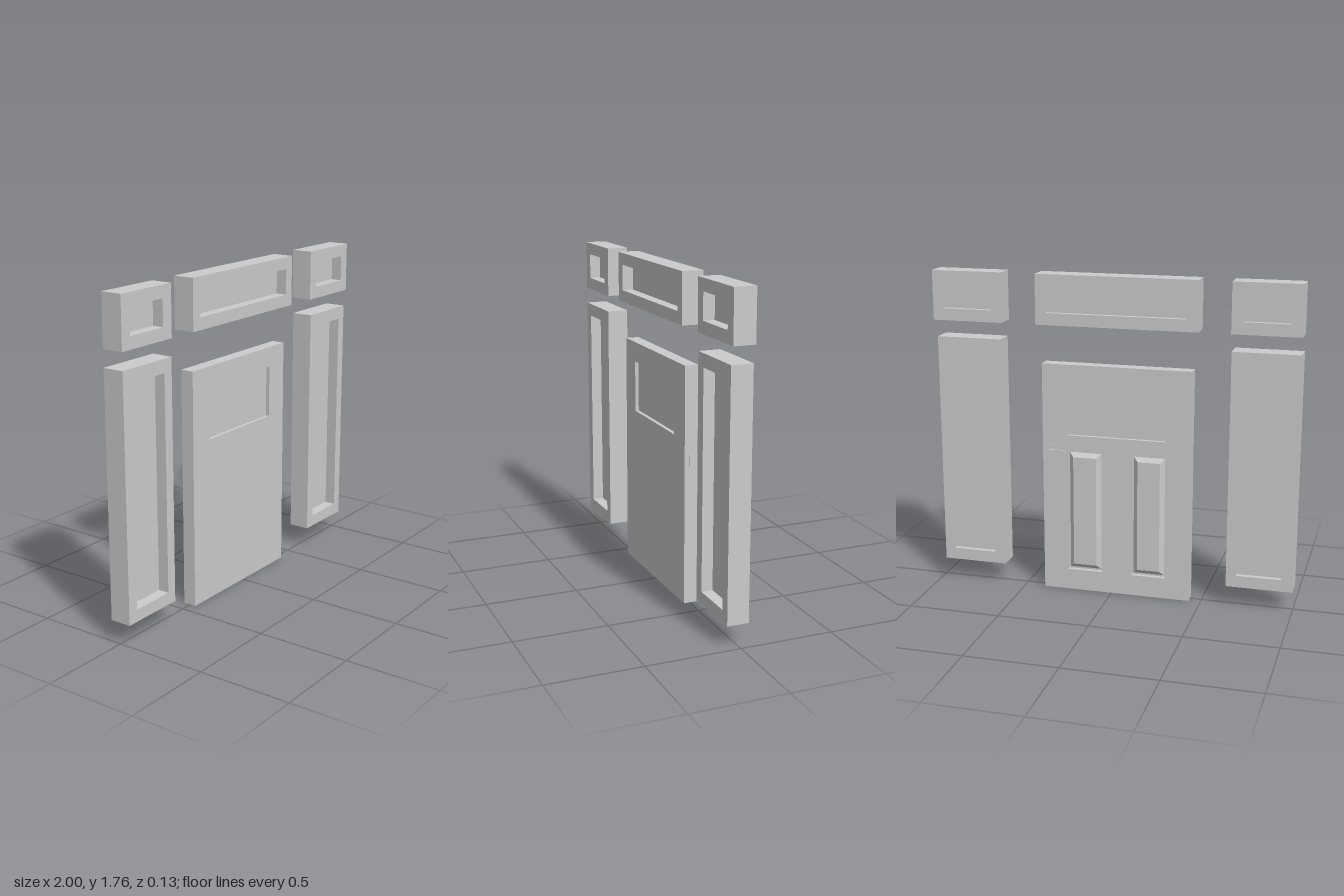
import * as THREE from 'three';

const material = new THREE.MeshStandardMaterial({ color: 0xcccccc });

function add(parent, name, geometry) {
  const mesh = new THREE.Mesh(geometry, material);
  mesh.name = name;
  parent.add(mesh);
  return mesh;
}

// Rectangles are [x0, x1, y0, y1]
function rectPath(path, [x0, x1, y0, y1]) {
  path.moveTo(x0, y0);
  path.lineTo(x1, y0);
  path.lineTo(x1, y1);
  path.lineTo(x0, y1);
  path.closePath();
  return path;
}

// Rectangular slab between z0 and z1 with rectangular openings
function slab(rect, holes, z0, z1) {
  const shape = rectPath(new THREE.Shape(), rect);
  shape.holes = holes.map((h) => rectPath(new THREE.Path(), h));
  const geometry = new THREE.ExtrudeGeometry(shape, { depth: z1 - z0, bevelEnabled: false });
  return geometry.translate(0, 0, z0);
}

// Raised field: a slab whose back face is inset to give sloping sides
function raisedField([x0, x1, y0, y1], z0, z1, inset) {
  const w = x1 - x0, h = y1 - y0;
  const geometry = new THREE.BoxGeometry(w, h, z1 - z0);
  const p = geometry.attributes.position;
  for (let i = 0; i < p.count; i++) {
    if (p.getZ(i) < 0) {
      p.setX(i, p.getX(i) - Math.sign(p.getX(i)) * inset);
      p.setY(i, p.getY(i) - Math.sign(p.getY(i)) * inset);
    }
  }
  geometry.computeVertexNormals();
  return geometry.translate((x0 + x1) / 2, (y0 + y1) / 2, (z0 + z1) / 2);
}

export function createModel() {
  const model = new THREE.Group();
  model.name = 'doorSet';

  // Fixed lights around the door: frame outline and glass opening
  const lights = [
    ['rightSidelight', [-1, -0.64, 0.115, 1.4], [-0.94, -0.695, 0.18, 1.33]],
    ['leftSidelight', [0.615, 0.975, 0.115, 1.4], [0.675, 0.92, 0.18, 1.33]],
    ['rightTransom', [-1, -0.635, 1.49, 1.76], [-0.94, -0.7, 1.555, 1.695]],
    ['centreTransom', [-0.465, 0.415, 1.49, 1.76], [-0.405, 0.36, 1.555, 1.695]],
    ['leftTransom', [0.605, 0.995, 1.49, 1.76], [0.665, 0.935, 1.555, 1.695]],
  ];
  for (const [name, outline, opening] of lights) {
    const light = new THREE.Group();
    light.name = name;
    add(light, 'frame', slab(outline, [opening], -0.053, 0.063));
    add(light, 'glass', slab(opening, [], -0.025, 0.002));
    model.add(light);
  }

  // Door leaf: plain front layer, back layer with sunk panels
  const door = new THREE.Group();
  door.name = 'door';
  model.add(door);
  const leaf = [-0.435, 0.387, 0, 1.28];
  const windowRect = [-0.3, 0.25, 0.89, 1.17];
  const panels = [[0.055, 0.25, 0.117, 0.8], [-0.3, -0.11, 0.117, 0.8]];
  add(door, 'leafFront', slab(leaf, [windowRect], -0.015, 0.032));
  add(door, 'leafBack', slab(leaf, [windowRect, ...panels], -0.04, -0.015));
  add(door, 'doorGlass', slab(windowRect, [], -0.02, 0.012));

  // Raised fields inside the sunk panels
  for (const [x0, x1, y0, y1] of panels) {
    const field = [x0 + 0.008, x1 - 0.008, y0 + 0.008, y1 - 0.008];
    add(door, 'raisedPanel', raisedField(field, -0.036, -0.014, 0.025));
  }

  // Lever handle with backplate and lock cylinder
  const handle = new THREE.Group();
  handle.name = 'handle';
  door.add(handle);
  add(handle, 'backplate', slab([0.31, 0.367, 0.73, 0.83], [], -0.043, -0.04));
  const spindle = add(handle, 'spindle', new THREE.CylinderGeometry(0.011, 0.011, 0.024, 16));
  spindle.rotation.x = Math.PI / 2;
  spindle.position.set(0.337, 0.8, -0.052);
  add(handle, 'lever', slab([0.243, 0.348, 0.79, 0.81], [], -0.065, -0.058));
  const lock = add(handle, 'lockCylinder', new THREE.CylinderGeometry(0.008, 0.008, 0.006, 16));
  lock.rotation.x = Math.PI / 2;
  lock.position.set(0.337, 0.755, -0.044);

  // Latch on the door edge
  add(door, 'latch', slab([0.38, 0.392, 0.75, 0.81], [], -0.015, 0.005));

  return model;
}
